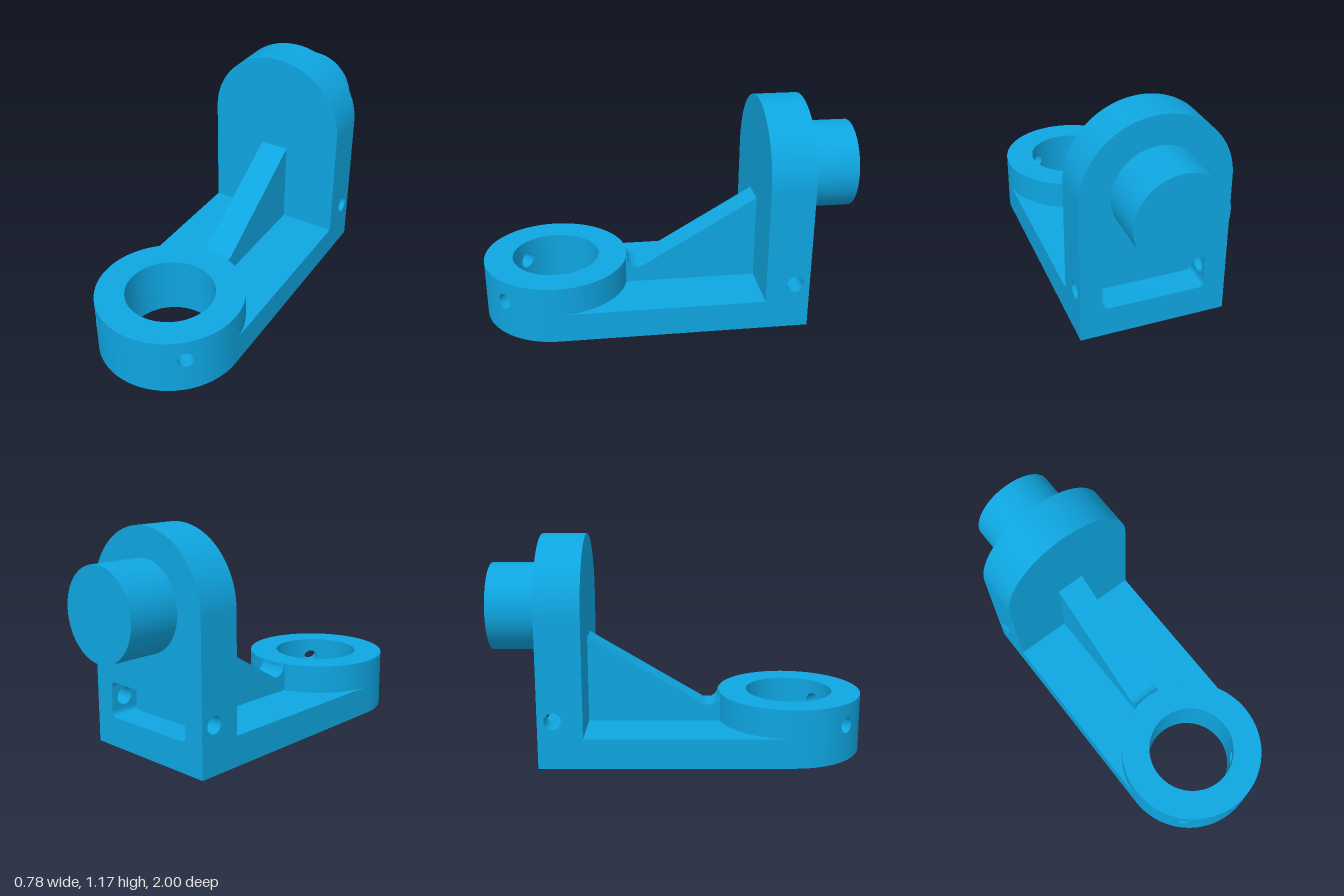
import * as THREE from 'three';
import { toCreasedNormals } from 'three/addons/utils/BufferGeometryUtils.js';

const W = 0.39;            // half width, also the outer ring and arch radius
const BORE = 0.235;        // ring bore and pin radius
const RING_Z = 0.61, RING_H = 0.315, BASE_H = 0.16;
const FRONT = -0.49, BACK = -0.725, SLOT_Z = -0.565;  // planes of the upright
const ARCH_Y = 0.785;
const SLOT_X = 0.275, SLOT_Y = 0.255, SPLIT_Y = 0.51;
const HOLE_Y = 0.198, HOLE_R = 0.043;

export function createModel() {
  const root = new THREE.Group();
  root.name = 'pivotBracket';
  const solid = new THREE.MeshStandardMaterial({ color: 0x0ea5e0 });
  const open = new THREE.MeshStandardMaterial({ color: 0x0ea5e0, side: THREE.DoubleSide });

  const add = (parent, name, geometry, material = solid) => {
    const mesh = new THREE.Mesh(geometry, material);
    mesh.name = name;
    parent.add(mesh);
    return mesh;
  };
  const group = (name) => {
    const g = new THREE.Group();
    g.name = name;
    root.add(g);
    return g;
  };
  const extrude = (shape, depth) => toCreasedNormals(
    new THREE.ExtrudeGeometry(shape, { depth, bevelEnabled: false, curveSegments: 48 }), 0.5);
  // profile drawn in (z, y), extruded across x and centred on x = 0
  const across = (shape, width) => extrude(shape, width).rotateY(-Math.PI / 2).translate(width / 2, 0, 0);

  // Base plate, cut away where the ring sits
  const plate = new THREE.Shape();
  plate.moveTo(-W, FRONT);
  plate.lineTo(W, FRONT);
  plate.lineTo(W, RING_Z);
  plate.absarc(0, RING_Z, W, 0, -Math.PI, true);
  plate.closePath();
  add(root, 'basePlate', extrude(plate, BASE_H).rotateX(Math.PI / 2).translate(0, BASE_H, 0));

  // Ring with two radial screw holes
  const ring = group('ring');
  ring.position.z = RING_Z;
  const onWall = (R, angle, s, y) => {
    const a = angle + Math.asin(s / R);
    return new THREE.Vector3(R * Math.sin(a), y, R * Math.cos(a));
  };
  // closed loops of points joined into a surface
  const loft = (loops) => {
    const n = loops[0].length, index = [];
    for (let k = 0; k < loops.length - 1; k++) {
      for (let i = 0; i < n; i++) {
        const a = k * n + i, b = k * n + (i + 1) % n;
        index.push(a, a + n, b + n, a, b + n, b);
      }
    }
    const g = new THREE.BufferGeometry().setFromPoints(loops.flat());
    g.setIndex(index);
    g.computeVertexNormals();
    return g;
  };
  // rectangle around a hole, unrolled as (s, y offset)
  const PATCH = 0.1, N = 10, rect = [];
  const corners = [[PATCH, -HOLE_Y], [PATCH, RING_H - HOLE_Y], [-PATCH, RING_H - HOLE_Y], [-PATCH, -HOLE_Y]];
  corners.forEach(([s, y], c) => {
    const [s2, y2] = corners[(c + 1) % 4];
    for (let i = 0; i < N; i++) rect.push([s + (s2 - s) * i / N, y + (y2 - y) * i / N]);
  });
  const wallLoop = (R, angle, t) => rect.map(([s, y]) => {
    const k = HOLE_R / Math.hypot(s, y) * (1 - t) + t;
    return onWall(R, angle, s * k, HOLE_Y + y * k);
  });
  for (const side of [-1, 1]) {
    const angle = side * Math.PI / 4;
    for (const R of [BORE, W]) {
      add(ring, 'wallAroundScrewHole', loft([0, 0.25, 0.5, 0.75, 1].map((t) => wallLoop(R, angle, t))), open);
    }
    add(ring, 'screwHole', loft([wallLoop(BORE, angle, 0), wallLoop(W, angle, 0)]), open);
  }
  for (const R of [BORE, W]) {
    const half = Math.asin(PATCH / R), q = Math.PI / 4;
    for (const [from, to, seg] of [[half - q, q - half, 20], [q + half, 7 * q - half, 96]]) {
      add(ring, R === W ? 'ringOuterWall' : 'ringBore',
        new THREE.CylinderGeometry(R, R, RING_H, seg, 1, true, from, to - from).translate(0, RING_H / 2, 0), open);
    }
  }
  add(ring, 'ringTop', new THREE.RingGeometry(BORE, W, 128).rotateX(-Math.PI / 2).translate(0, RING_H, 0));
  add(ring, 'ringBottom', new THREE.RingGeometry(BORE, W, 128).rotateX(Math.PI / 2));

  // Upright: full arched front layer, back layer built around the slot
  const upright = group('upright');
  const arch = (bottom) => {
    const s = new THREE.Shape();
    s.moveTo(-W, bottom);
    s.lineTo(W, bottom);
    s.lineTo(W, ARCH_Y);
    s.absarc(0, ARCH_Y, W, 0, Math.PI, false);
    s.closePath();
    return s;
  };
  const depth = SLOT_Z - BACK;
  add(upright, 'archFront', extrude(arch(0), FRONT - SLOT_Z).translate(0, 0, SLOT_Z));
  add(upright, 'archBack', extrude(arch(SPLIT_Y), depth).translate(0, 0, BACK));

  // Slot floor and ceiling with rounded corners
  const r = 0.03, floorY = BASE_H;
  const sill = new THREE.Shape();
  sill.moveTo(-SLOT_X, 0);
  sill.lineTo(SLOT_X, 0);
  sill.lineTo(SLOT_X, floorY + r);
  sill.absarc(SLOT_X - r, floorY + r, r, 0, -Math.PI / 2, true);
  sill.lineTo(-SLOT_X + r, floorY);
  sill.absarc(-SLOT_X + r, floorY + r, r, -Math.PI / 2, -Math.PI, true);
  sill.closePath();
  const sillGeometry = extrude(sill, depth);
  add(upright, 'slotFloor', sillGeometry.clone().translate(0, 0, BACK));
  add(upright, 'slotCeiling', sillGeometry.rotateZ(Math.PI).translate(0, 2 * SLOT_Y, BACK));

  // Slot ends, each with a cross hole
  const cheek = new THREE.Shape();
  cheek.moveTo(BACK, 0);
  cheek.lineTo(SLOT_Z, 0);
  cheek.lineTo(SLOT_Z, SPLIT_Y);
  cheek.lineTo(BACK, SPLIT_Y);
  cheek.closePath();
  cheek.holes.push(new THREE.Path().absarc((BACK + SLOT_Z) / 2, SLOT_Y, 0.045, 0, Math.PI * 2, true));
  for (const side of [-1, 1]) {
    add(upright, side > 0 ? 'leftCheek' : 'rightCheek', across(cheek, W - SLOT_X))
      .position.x = side * (W + SLOT_X) / 2;
  }

  // Sloping web with a fillet against the ring
  const web = new THREE.Shape();
  web.moveTo(FRONT, BASE_H);
  web.lineTo(0.25, BASE_H);
  web.lineTo(0.25, 0.31);
  web.lineTo(0.222, 0.31);
  web.absarc(0.162, 0.31, 0.06, 0, -Math.PI / 2 - 0.54, true);
  web.lineTo(FRONT, 0.628);
  web.closePath();
  add(root, 'web', across(web, 0.16));

  // Pin on the back
  add(root, 'pin', new THREE.CylinderGeometry(BORE, BORE, 1 + BACK, 96)
    .rotateX(Math.PI / 2).translate(0, ARCH_Y, (BACK - 1) / 2));

  return root;
}
